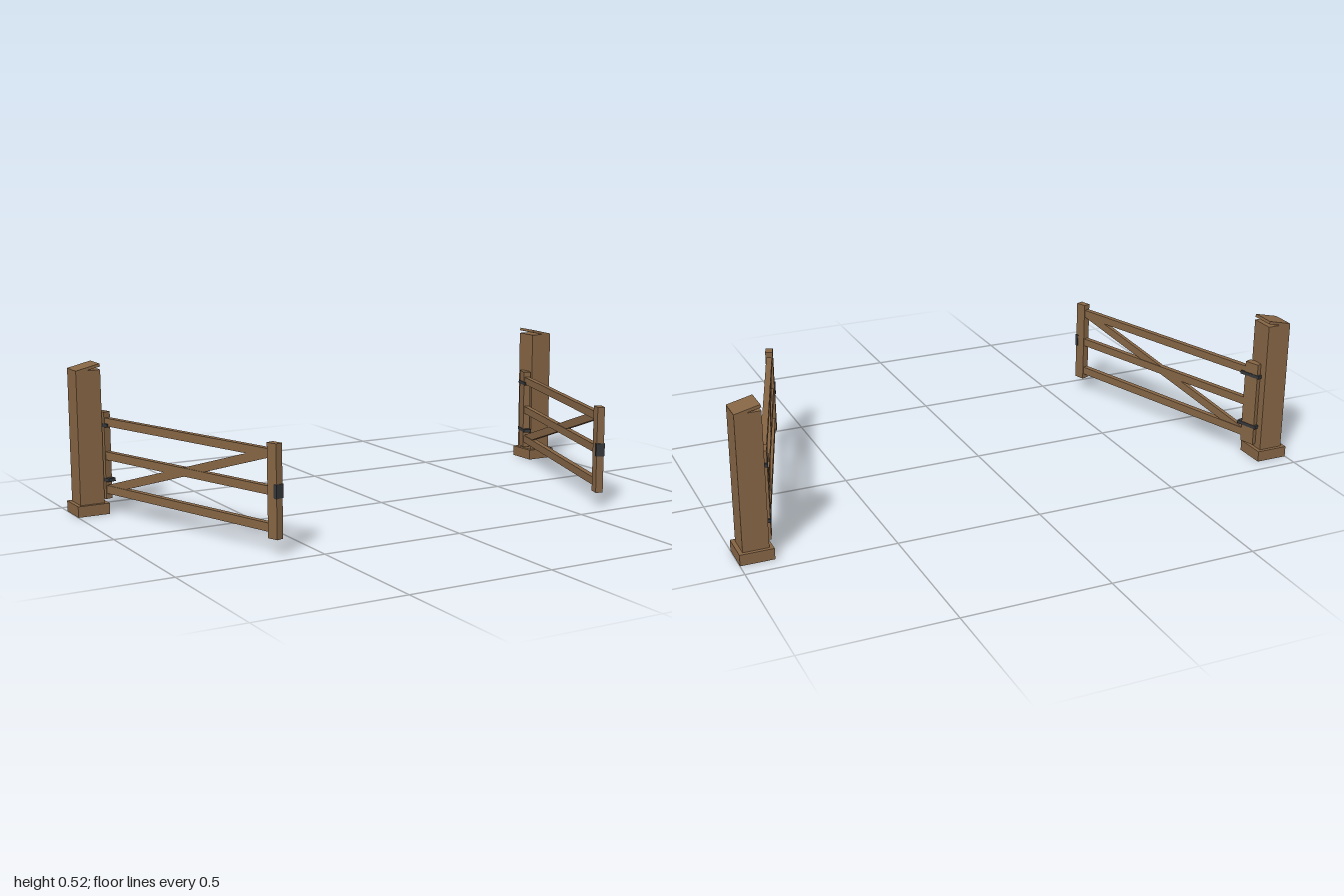
import * as THREE from 'three';

const wood = new THREE.MeshStandardMaterial({ color: 0x846444 });
const iron = new THREE.MeshStandardMaterial({ color: 0x343638 });

function box(parent, name, size, pos, material = wood) {
  const mesh = new THREE.Mesh(new THREE.BoxGeometry(...size), material);
  mesh.name = name;
  mesh.position.set(...pos);
  parent.add(mesh);
  return mesh;
}

// Square post on a plinth, with a thin cap sloping down to the outside
function createPost(side) {
  const post = new THREE.Group();
  post.name = side > 0 ? 'leftPost' : 'rightPost';
  post.position.set(side * 0.943, 0, -0.388);
  box(post, 'plinth', [0.113, 0.038, 0.111], [0, 0.019, 0]);
  box(post, 'shaft', [0.086, 0.462, 0.086], [0, 0.269, 0]);
  const cap = box(post, 'slopedCap', [0.086, 0.01, 0.086], [0, 0.506, 0]);
  cap.rotation.z = -side * 0.23;
  return post;
}

// Gate leaf: local x runs from the latch stile (0) back to the hinge stile
function createLeaf(side) {
  const leaf = new THREE.Group();
  leaf.name = side > 0 ? 'leftGate' : 'rightGate';
  leaf.position.set(side * 0.63, 0, 0.421);
  const swing = THREE.MathUtils.degToRad(72);
  leaf.rotation.y = side > 0 ? swing : Math.PI - swing;

  const hingeX = 0.837;
  box(leaf, 'latchStile', [0.04, 0.303, 0.026], [0, 0.2015, 0]);
  box(leaf, 'hingeStile', [0.054, 0.303, 0.026], [hingeX, 0.2015, 0]);

  // Three horizontal rails
  for (const y of [0.0835, 0.2015, 0.319]) {
    box(leaf, 'rail', [hingeX, 0.028, 0.02], [hingeX / 2, y, 0]);
  }

  // Diagonal brace falling towards the hinges
  const brace = box(leaf, 'brace', [0.84, 0.029, 0.015], [hingeX / 2, 0.2, 0]);
  brace.rotation.z = -0.29;

  // Ironwork
  box(leaf, 'latch', [0.012, 0.045, 0.031], [-0.016, 0.2025, 0], iron);
  for (const y of [0.118, 0.308]) {
    box(leaf, 'hinge', [0.08, 0.012, 0.03], [hingeX - 0.005, y, 0], iron);
  }
  return leaf;
}

export function createModel() {
  const model = new THREE.Group();
  model.name = 'doubleFieldGate';
  for (const side of [1, -1]) model.add(createPost(side), createLeaf(side));
  return model;
}
